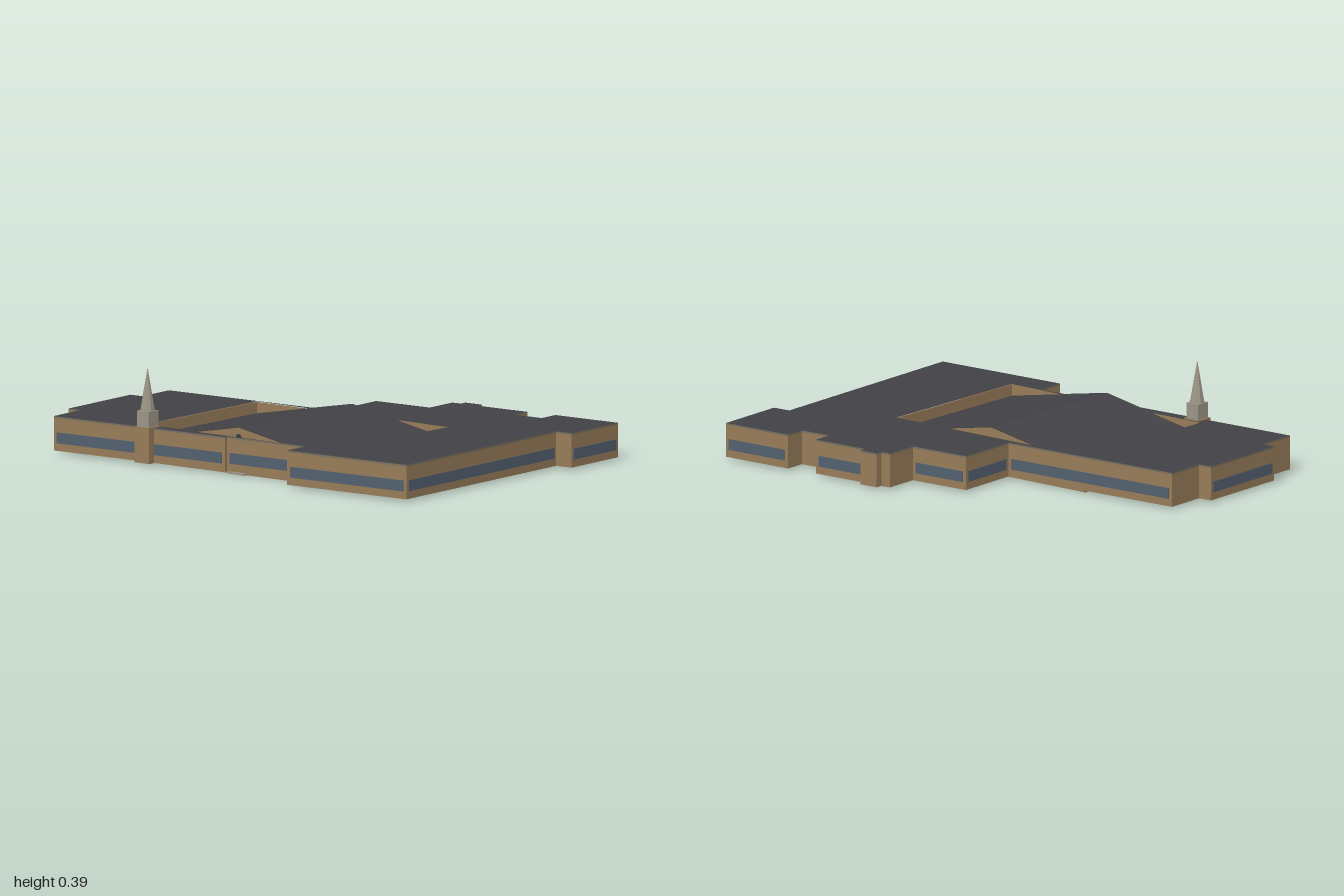
import * as THREE from 'three';

const mat = (name, color, double = false) => {
  const m = new THREE.MeshStandardMaterial({ color, side: double ? THREE.DoubleSide : THREE.FrontSide });
  m.name = name;
  return m;
};

export function createModel() {
  const brick = mat('tan brick', 0x987c59);
  const brickOpen = brick.clone();
  brickOpen.side = THREE.DoubleSide;
  const roofing = mat('dark roofing', 0x424146);
  const cornice = mat('grey cornice', 0x77715f);
  const glass = mat('blue glass', 0x536070);
  const darkGlass = mat('dark glass', 0x333a42);
  const stone = mat('grey stone', 0x9c9686);
  const trim = mat('pale trim', 0xc9bfa6);

  const model = new THREE.Group();
  const add = (name, geometry, material, x = 0, y = 0, z = 0, parent = model) => {
    const mesh = new THREE.Mesh(geometry, material);
    mesh.name = name;
    mesh.position.set(x, y, z);
    parent.add(mesh);
    return mesh;
  };
  const box = (name, w, h, d, material, x, y, z, parent) =>
    add(name, new THREE.BoxGeometry(w, h, d), material, x, y, z, parent);

  // Footprint corners as [x, z], going clockwise seen from above
  const plan = [
    [-0.945, -0.165], [-0.11, -0.205], [-0.123, -0.49], [0.148, -0.502], [0.142, -0.655],
    [0.185, -0.658], [0.184, -0.688], [0.268, -0.692], [0.27, -0.66], [0.522, -0.67],
    [0.526, -0.582], [0.665, -0.588], [0.661, -0.68], [0.98, -0.692], [0.994, -0.372],
    [0.917, -0.368], [0.962, 0.657], [0.36, 0.683], [0.355, 0.557], [-0.045, 0.572],
    [-0.044, 0.585], [-0.91, 0.622], [-0.918, 0.437], [-0.98, 0.44], [-0.998, 0.018], [-0.937, 0.015],
  ];
  const bottom = 0.01, top = 0.145;

  // Outer walls, with a ribbon window on each long one
  const walls = new THREE.Group();
  walls.name = 'outerWalls';
  model.add(walls);
  plan.forEach(([x0, z0], i) => {
    const [x1, z1] = plan[(i + 1) % plan.length];
    const length = Math.hypot(x1 - x0, z1 - z0);
    const bay = new THREE.Group();
    bay.name = 'wallBay';
    bay.position.set((x0 + x1) / 2, 0, (z0 + z1) / 2);
    bay.rotation.y = -Math.atan2(z1 - z0, x1 - x0);
    walls.add(bay);
    box('wall', length, top - bottom, 0.004, brick, 0, (top + bottom) / 2, 0.002, bay);
    if (length > 0.2) box('ribbonWindow', length - 0.03, 0.045, 0.004, glass, 0, 0.064, -0.0005, bay);
  });

  // Flat roof with an opening around the hall
  const hall = { x0: -0.495, x1: 0.507, z0: -0.178, z1: 0.55 };
  const roofShape = new THREE.Shape(plan.map(([x, z]) => new THREE.Vector2(x, -z)));
  roofShape.holes.push(new THREE.Path([
    new THREE.Vector2(hall.x0, -hall.z0), new THREE.Vector2(hall.x1, -hall.z0),
    new THREE.Vector2(hall.x1, -hall.z1), new THREE.Vector2(hall.x0, -hall.z1),
  ]));
  const roofGeometry = new THREE.ExtrudeGeometry(roofShape, { depth: 0.007, bevelEnabled: false });
  roofGeometry.rotateX(-Math.PI / 2);
  add('flatRoof', roofGeometry, [roofing, cornice], 0, top, 0);

  // Sunken gabled hall
  const cx = (hall.x0 + hall.x1) / 2, half = (hall.x1 - hall.x0) / 2;
  const eaves = 0.1, ridge = 0.192, frontZ = 0.558;
  const depth = frontZ - hall.z0, midZ = (frontZ + hall.z0) / 2;

  const gable = new THREE.Shape([
    new THREE.Vector2(-half, 0), new THREE.Vector2(half, 0), new THREE.Vector2(half, eaves),
    new THREE.Vector2(0, ridge), new THREE.Vector2(-half, eaves),
  ]);
  const gableGeometry = new THREE.ExtrudeGeometry(gable, { depth: 0.004, bevelEnabled: false });
  add('hallFrontGable', gableGeometry, brick, cx, 0, frontZ - 0.004);
  add('hallBackGable', gableGeometry, brick, cx, 0, hall.z0);

  const slope = Math.atan2(ridge - eaves, half);
  for (const side of [-1, 1]) {
    const x = cx + side * half;
    box('hallSideWall', 0.004, eaves, depth, brick, x - side * 0.002, eaves / 2, midZ);
    const pitch = box('hallRoof', Math.hypot(half, ridge - eaves), 0.004, depth - 0.002, roofing,
      cx + side * half / 2, (eaves + ridge) / 2 + 0.001, midZ);
    pitch.rotation.z = -side * slope;
    // Lining between the hall eaves and the flat roof
    box('wellSideWall', 0.003, top - eaves + 0.01, depth, brick, x, (top + eaves) / 2, midZ);
    // Side windows: pale outside, dark glass inside
    for (let i = 0; i < 6; i++) {
      const z = hall.z0 + depth * (i + 0.5) / 6;
      box('hallWindow', 0.006, 0.042, 0.026, darkGlass, x - side * 0.0025, 0.052, z);
      box('hallWindowTrim', 0.003, 0.046, 0.016, trim, x + side * 0.001, 0.052, z);
    }
  }
  const lining = new THREE.PlaneGeometry(2 * half, top - eaves + 0.01);
  add('wellBackWall', lining, brickOpen, cx, (top + eaves) / 2, hall.z0 - 0.001);
  add('wellFrontWall', lining, brickOpen, cx, (top + eaves) / 2, hall.z1 + 0.001);

  // Round windows, door and step on the hall ends
  const disc = new THREE.CylinderGeometry(0.014, 0.014, 0.008, 20).rotateX(Math.PI / 2);
  for (const [x, y] of [[-0.3, 0.06], [0.308, 0.06], [cx, 0.152]])
    add('roundWindow', disc, darkGlass, x, y, frontZ - 0.002);
  box('hallDoor', 0.06, 0.07, 0.008, darkGlass, cx, 0.042, frontZ - 0.002);
  box('doorStep', 0.08, 0.008, 0.02, stone, cx, 0.004, frontZ + 0.008);
  box('backWindow', 0.02, 0.045, 0.006, trim, cx, 0.055, hall.z0 + 0.001);

  // Tower and spire
  const tx = -0.442, tz = 0.594;
  box('towerBase', 0.077, 0.148, 0.074, brick, tx, 0.082, tz);
  box('towerBelfry', 0.062, 0.066, 0.062, stone, tx, 0.188, tz);
  const spire = new THREE.CylinderGeometry(0.001, 0.031, 0.172, 8, 1).toNonIndexed();
  spire.computeVertexNormals();
  spire.rotateY(Math.PI / 8);
  add('spire', spire, stone, tx, 0.307, tz);

  return model;
}
